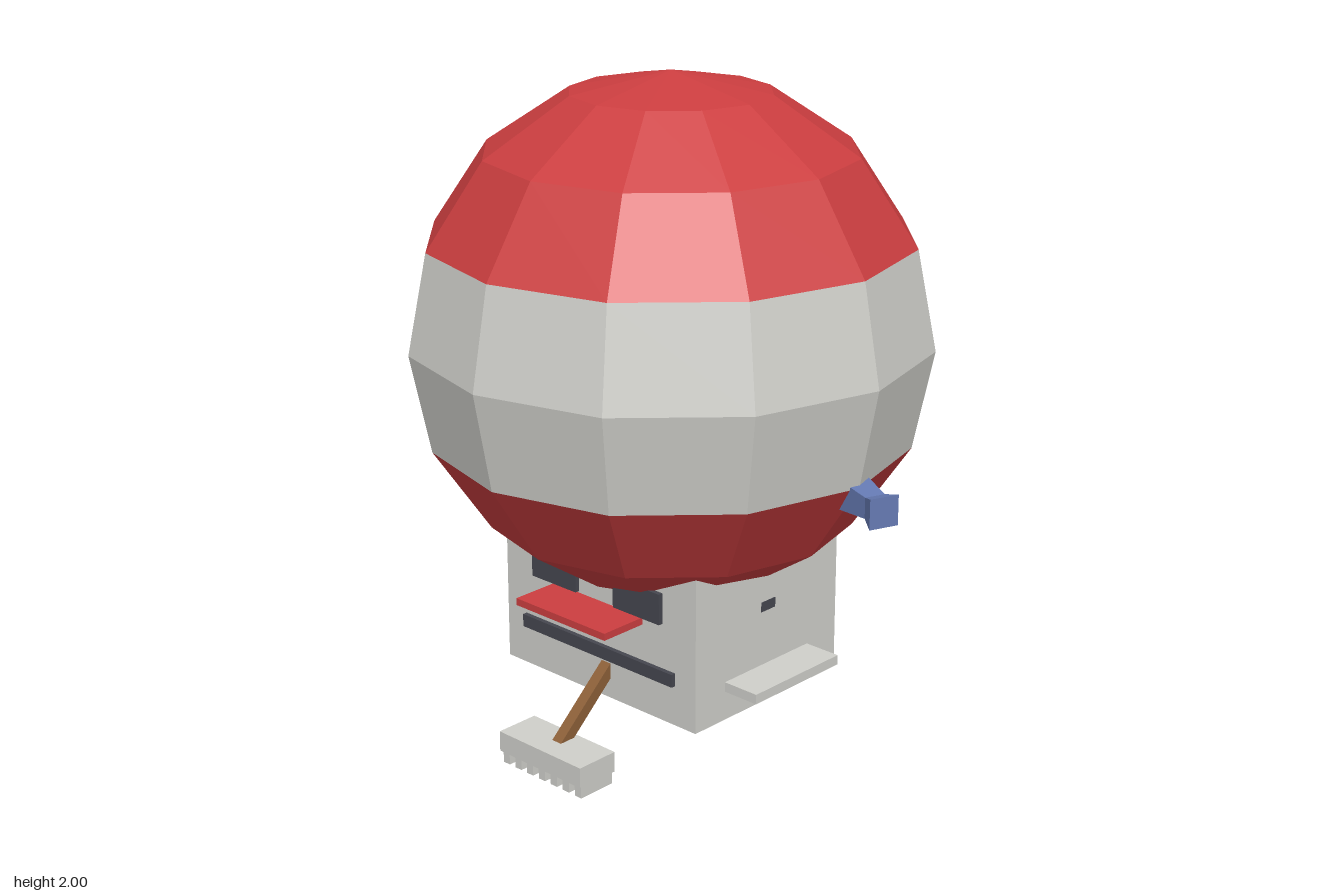
import * as THREE from 'three';

const mat = (name, color, side = THREE.FrontSide) =>
  new THREE.MeshStandardMaterial({ name, color, flatShading: true, side });

export function createModel() {
  const red = mat('red', 0xcc3e40, THREE.DoubleSide);
  const grey = mat('pale grey', 0xcfcfca, THREE.DoubleSide);
  const dark = mat('dark slate', 0x45464f);
  const brown = mat('wood brown', 0x8c5f38);
  const blue = mat('engine blue', 0x667bb4);

  const model = new THREE.Group();
  model.name = 'balloonCabin';

  const add = (name, geometry, material, parent = model) => {
    const mesh = new THREE.Mesh(geometry, material);
    mesh.name = name;
    parent.add(mesh);
    return mesh;
  };
  // Box given by its extents on each axis
  const box = (name, [x0, x1], [y0, y1], [z0, z1], material, parent) => {
    const mesh = add(name, new THREE.BoxGeometry(x1 - x0, y1 - y0, z1 - z0), material, parent);
    mesh.position.set((x0 + x1) / 2, (y0 + y1) / 2, (z0 + z1) / 2);
    return mesh;
  };

  // Balloon: 12 x 8 sphere split into three colour bands
  const step = Math.PI / 8;
  const bands = [['balloonTop', 0, 3, red], ['balloonMiddle', 3, 2, grey], ['balloonBottom', 5, 3, red]];
  for (const [name, start, count, material] of bands) {
    const geometry = new THREE.SphereGeometry(0.775, 12, count, 0, Math.PI * 2, start * step, count * step);
    add(name, geometry, material).position.y = 1.225;
  }

  // Cabin with front windows, slot, awning and side shelf
  box('cabin', [-0.39, 0.39], [0.175, 0.68], [-0.31, 0.31], grey);
  box('windowRight', [-0.265, -0.08], [0.48, 0.575], [0.3, 0.325], dark);
  box('windowLeft', [0.075, 0.26], [0.48, 0.575], [0.3, 0.325], dark);
  box('awning', [-0.185, 0.18], [0.453, 0.475], [0.3, 0.465], red);
  box('frontSlot', [-0.31, 0.31], [0.3, 0.34], [0.3, 0.325], dark);
  box('sideShelf', [0.38, 0.51], [0.265, 0.295], [-0.18, 0.185], grey);

  for (const s of [-1, 1]) {
    // Small vent in each cabin side
    const vent = box('sideVent', [-0.002, 0.002], [0.465, 0.495], [-0.03, 0.03], dark);
    vent.position.x = s * 0.39;

    // Square waisted engine, angled outward and slightly forward
    const r = Math.SQRT2;
    const profile = [[0, -0.26], [0.053 * r, -0.26], [0.031 * r, -0.05], [0.045 * r, 0], [0, 0]]
      .map(([x, y]) => new THREE.Vector2(x, y));
    const geometry = new THREE.LatheGeometry(profile, 4, Math.PI / 4);
    geometry.rotateX(Math.PI / 2);
    const engine = add('engine', geometry, blue);
    engine.position.set(s * 0.834, 0.9, 0.038);
    engine.rotation.y = s * 1.21;
  }

  // Rake: sloping handle, head and seven teeth
  const rake = new THREE.Group();
  rake.name = 'rake';
  model.add(rake);
  const from = new THREE.Vector3(0.03, 0.28, 0.29);
  const to = new THREE.Vector3(0.03, 0.07, 0.523);
  const handle = add('rakeHandle', new THREE.BoxGeometry(0.036, 0.036, from.distanceTo(to)), brown, rake);
  handle.position.copy(from).lerp(to, 0.5);
  handle.lookAt(to);
  box('rakeHead', [-0.14, 0.197], [0.037, 0.1], [0.445, 0.585], grey, rake);
  for (let i = 0; i < 7; i++) {
    const x = -0.12 + i * 0.05;
    box('rakeTooth', [x - 0.013, x + 0.013], [0, 0.04], [0.453, 0.578], grey, rake);
  }

  return model;
}
